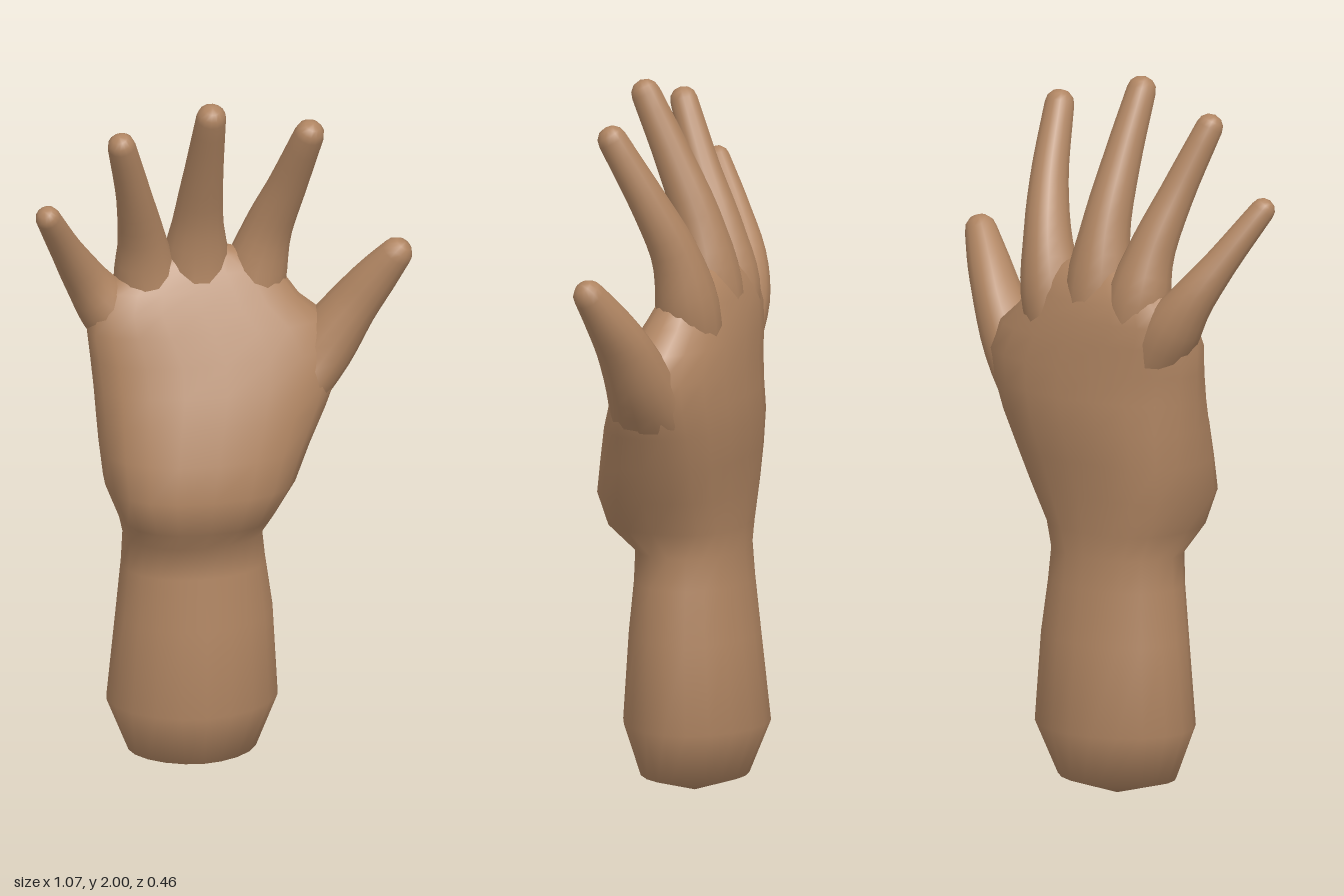
import * as THREE from 'three';

const skin = new THREE.MeshStandardMaterial({ color: 0xb08562 });

// Closed skin over a list of rings of points, with a pole at each end
function loft(name, start, rings, end) {
  const n = rings[0].length;
  const points = [start, ...rings.flat(), end];
  const last = points.length - 1;
  const index = [];
  for (let j = 0; j < n; j++) {
    const k = (j + 1) % n;
    index.push(0, 1 + j, 1 + k);
    for (let i = 0; i < rings.length - 1; i++) {
      const a = 1 + i * n, b = a + n;
      index.push(a + j, b + j, a + k, a + k, b + j, b + k);
    }
    const top = 1 + (rings.length - 1) * n;
    index.push(top + j, last, top + k);
  }
  const geometry = new THREE.BufferGeometry().setFromPoints(points);
  geometry.setIndex(index);
  geometry.computeVertexNormals();
  const mesh = new THREE.Mesh(geometry, skin);
  mesh.name = name;
  return mesh;
}

// Level cross-section: rounded box-like oval, with the sides bent forward by arch
function section([y, x0, x1, zBack, zFront, power, arch = 0], sides = 20) {
  const cx = (x0 + x1) / 2, cz = (zBack + zFront) / 2;
  const round = v => Math.sign(v) * Math.abs(v) ** (2 / power);
  return Array.from({ length: sides }, (_, j) => {
    const a = j / sides * Math.PI * 2;
    const c = round(Math.cos(a)), s = round(Math.sin(a));
    return new THREE.Vector3(cx + c * (x1 - x0) / 2, y, cz + s * (zFront - zBack) / 2 + arch * c * c);
  });
}

// Finger along a smooth path of [x, y, z, half width, half depth], with a rounded tip
function finger(name, stations, sides = 14) {
  const curve = new THREE.CatmullRomCurve3(stations.map(s => new THREE.Vector3(...s)));
  const sizes = new THREE.CatmullRomCurve3(stations.map(s => new THREE.Vector3(s[3], s[4], 0)));
  const ring = (center, t, size) => {
    const u = new THREE.Vector3(1, 0, 0).addScaledVector(t, -t.x).normalize();
    const v = new THREE.Vector3().crossVectors(u, t);
    return Array.from({ length: sides }, (_, j) => {
      const a = j / sides * Math.PI * 2;
      return center.clone().addScaledVector(u, size.x * Math.cos(a)).addScaledVector(v, size.y * Math.sin(a));
    });
  };
  const rings = [];
  const steps = 15;
  for (let i = 0; i <= steps; i++) {
    const q = i / steps;
    rings.push(ring(curve.getPoint(q), curve.getTangent(q), sizes.getPoint(q)));
  }
  const tip = curve.getPoint(1), dir = curve.getTangent(1), size = sizes.getPoint(1);
  for (const a of [0.5, 1.0]) {
    const center = tip.clone().addScaledVector(dir, size.x * Math.sin(a));
    rings.push(ring(center, dir, size.clone().multiplyScalar(Math.cos(a))));
  }
  return loft(name, curve.getPoint(0), rings, tip.clone().addScaledVector(dir, size.x));
}

export function createModel() {
  const hand = new THREE.Group();
  hand.name = 'hand';

  // Forearm, wrist and palm with the ball of the thumb:
  // y, left and right x, back and front z, squareness, arch
  const body = [
    [0.05, -0.25, 0.11, -0.17, 0.13, 1.85],
    [0.2, -0.31, 0.172, -0.23, 0.175, 1.9],
    [0.45, -0.285, 0.157, -0.2, 0.155, 2],
    [0.6, -0.27, 0.135, -0.18, 0.14, 2.1],
    [0.69, -0.265, 0.125, -0.17, 0.135, 2.2],
    [0.76, -0.285, 0.145, -0.172, 0.21, 2.5],
    [0.86, -0.325, 0.205, -0.18, 0.228, 2.5],
    [0.96, -0.337, 0.252, -0.192, 0.205, 2.4],
    [1.06, -0.345, 0.303, -0.205, 0.175, 2.3, 0.01],
    [1.14, -0.35, 0.34, -0.203, 0.145, 2.2, 0.015],
    [1.22, -0.357, 0.355, -0.198, 0.112, 2.2, 0.02],
    [1.3, -0.365, 0.31, -0.19, 0.078, 2.3, 0.025],
    [1.36, -0.352, 0.235, -0.18, 0.05, 2.4, 0.022],
    [1.41, -0.325, 0.2, -0.167, 0.027, 2.4, 0.015],
    [1.45, -0.27, 0.16, -0.15, 0.005, 2.3, 0.01],
    [1.49, -0.19, 0.09, -0.125, -0.015, 2.1],
  ];
  hand.add(loft('armAndPalm', new THREE.Vector3(-0.07, 0, -0.02),
    body.map(s => section(s)), new THREE.Vector3(-0.05, 1.54, -0.065)));

  // Digits, each flaring into the palm at its root
  const digits = {
    thumb: [[0.12, 0.98, -0.01, 0.06, 0.1], [0.215, 1.09, -0.012, 0.08, 0.118],
      [0.298, 1.21, -0.01, 0.086, 0.1], [0.375, 1.33, 0.008, 0.07, 0.08],
      [0.435, 1.42, 0.036, 0.06, 0.062], [0.487, 1.497, 0.066, 0.046, 0.045]],
    indexFinger: [[0.085, 1.26, -0.062, 0.08, 0.1], [0.115, 1.4, -0.075, 0.09, 0.092],
      [0.15, 1.55, -0.055, 0.068, 0.07], [0.193, 1.7, 0.005, 0.054, 0.055], [0.235, 1.885, 0.1, 0.042, 0.042]],
    middleFinger: [[-0.05, 1.28, -0.062, 0.08, 0.11], [-0.05, 1.43, -0.074, 0.098, 0.092],
      [-0.048, 1.6, -0.043, 0.07, 0.07], [-0.046, 1.78, 0.03, 0.054, 0.055], [-0.045, 1.96, 0.115, 0.042, 0.042]],
    ringFinger: [[-0.165, 1.27, -0.06, 0.08, 0.1], [-0.188, 1.41, -0.072, 0.092, 0.09],
      [-0.208, 1.55, -0.042, 0.068, 0.067], [-0.247, 1.72, 0.03, 0.049, 0.05], [-0.296, 1.893, 0.105, 0.039, 0.039]],
    littleFinger: [[-0.22, 1.21, -0.05, 0.07, 0.09], [-0.295, 1.34, -0.062, 0.08, 0.085],
      [-0.362, 1.44, -0.05, 0.062, 0.064], [-0.432, 1.56, 0.008, 0.045, 0.046], [-0.5, 1.69, 0.088, 0.035, 0.035]],
  };
  for (const [name, stations] of Object.entries(digits)) hand.add(finger(name, stations));

  return hand;
}
